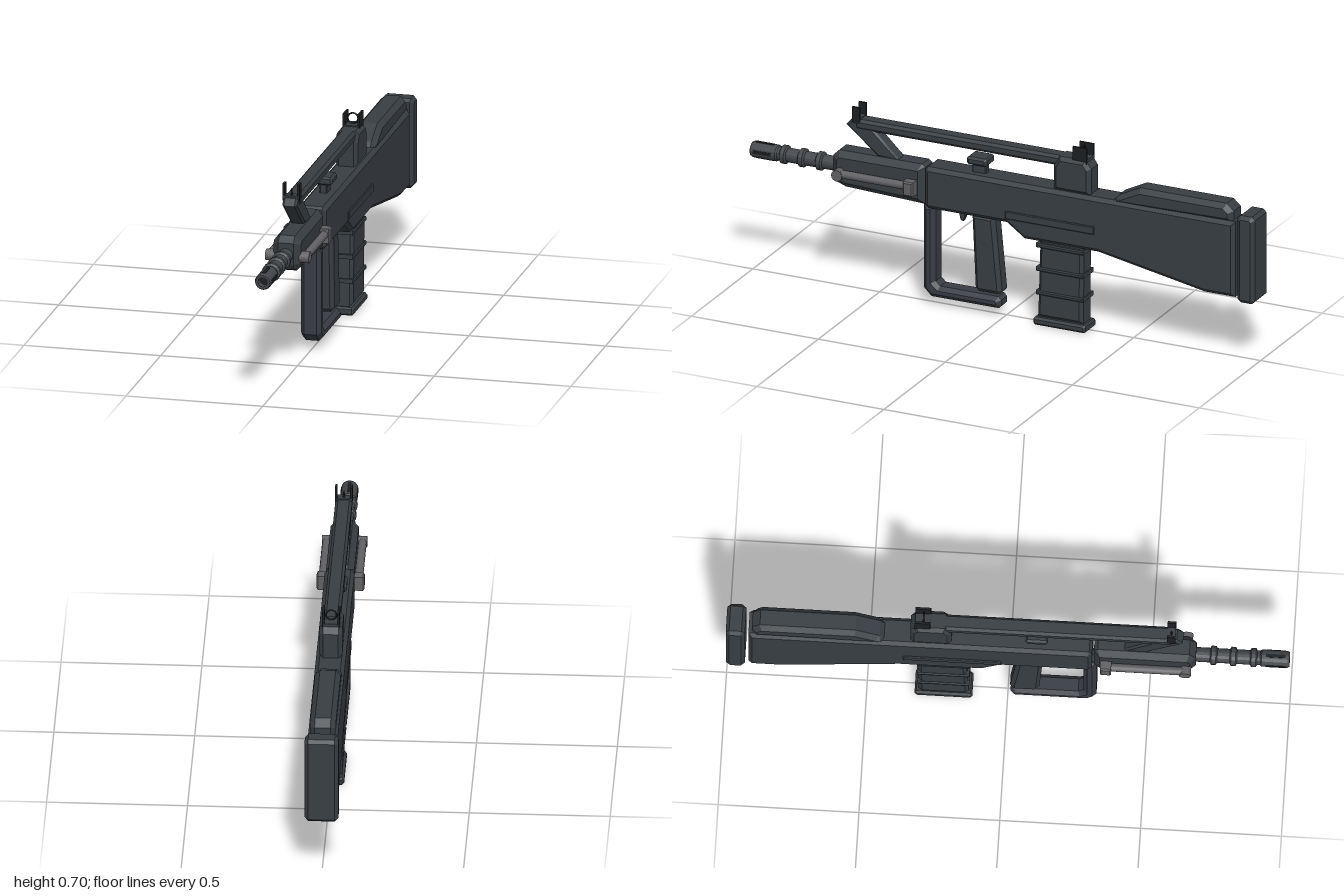
import * as THREE from 'three';

const mat = (name, color) => {
  const m = new THREE.MeshStandardMaterial({ color });
  m.name = name;
  return m;
};

export function createModel() {
  const group = new THREE.Group();
  const polymer = mat('polymer', 0x383e43);
  const slate = mat('slate polymer', 0x383c44);
  const steel = mat('barrel steel', 0x43474b);
  const grey = mat('grey metal', 0x626266);
  const black = mat('black', 0x1c1f22);

  const add = (name, geo, material, x = 0, y = 0, z = 0) => {
    const mesh = new THREE.Mesh(geo, material);
    mesh.name = name;
    mesh.position.set(x, y, z);
    group.add(mesh);
    return mesh;
  };

  // Side outline in [z, y], extruded across x with a chamfered rim
  const slab = (name, pts, half, bevel, material = polymer, x = 0) => {
    const shape = new THREE.Shape(pts.map(([z, y]) => new THREE.Vector2(z, y)));
    const geo = new THREE.ExtrudeGeometry(shape, {
      depth: 2 * (half - bevel), bevelEnabled: bevel > 0, bevelThickness: bevel,
      bevelSize: bevel, bevelOffset: -bevel, bevelSegments: 1,
    });
    geo.translate(0, 0, -(half - bevel));
    geo.rotateY(-Math.PI / 2);
    return add(name, geo, material, x);
  };
  const rect = (z0, z1, y0, y1, c = 0) => (c
    ? [[z0 + c, y0], [z1 - c, y0], [z1, y0 + c], [z1, y1 - c], [z1 - c, y1], [z0 + c, y1], [z0, y1 - c], [z0, y0 + c]]
    : [[z0, y0], [z1, y0], [z1, y1], [z0, y1]]);

  // Body, stock and butt
  slab('receiverAndStock', [[0.3, 0.38], [0.3, 0.52], [0.29, 0.53], [-0.92, 0.53], [-0.92, 0.243],
    [-0.8, 0.243], [-0.38, 0.322], [-0.09, 0.322], [-0.02, 0.372], [0.29, 0.372]], 0.053, 0.014);
  slab('buttPlate', rect(-1, -0.932, 0.23, 0.562, 0.012), 0.06, 0.013);
  slab('cheekRest', [[-0.43, 0.52], [-0.455, 0.548], [-0.54, 0.59], [-0.88, 0.59], [-0.908, 0.565],
    [-0.908, 0.52]], 0.046, 0.018);
  for (const s of [1, -1]) slab('sidePanel', rect(-0.37, -0.02, 0.39, 0.42), 0.005, 0.003, polymer, s * 0.053);

  // Handguard
  slab('handguard', [[0.306, 0.38], [0.62, 0.392], [0.655, 0.405], [0.668, 0.425], [0.668, 0.505],
    [0.645, 0.528], [0.32, 0.53], [0.306, 0.52]], 0.05, 0.022);

  // Barrel with rings and muzzle, closed by a dark bore
  const profile = [[0, 0.6], [0.026, 0.6], [0.026, 0.715]];
  for (const z of [0.73, 0.8, 0.872]) {
    profile.push([0.026, z - 0.013], [0.034, z - 0.008], [0.034, z + 0.008], [0.026, z + 0.013]);
  }
  profile.push([0.026, 0.895], [0.03, 0.9], [0.03, 0.993], [0.026, 1], [0.017, 1], [0.017, 0.97]);
  const barrel = new THREE.LatheGeometry(profile.map(([r, z]) => new THREE.Vector2(r, z)), 16).toNonIndexed();
  barrel.computeVertexNormals();
  barrel.rotateX(Math.PI / 2);
  add('barrel', barrel, steel, 0, 0.46, 0);
  add('bore', new THREE.CircleGeometry(0.018, 16), black, 0, 0.46, 0.972);
  for (let i = 0; i < 4; i++) {
    const a = i * Math.PI / 2;
    const slot = add('muzzleSlot', new THREE.BoxGeometry(0.006, 0.012, 0.07), black,
      Math.cos(a) * 0.028, 0.46 + Math.sin(a) * 0.028, 0.95);
    slot.rotation.z = a;
  }

  // Folded side rods with pivots and end blocks
  for (const s of [1, -1]) {
    const rod = new THREE.CylinderGeometry(0.015, 0.015, 0.29, 12);
    rod.rotateX(Math.PI / 2);
    add('sideRod', rod, grey, s * 0.064, 0.452, 0.49);
    const pivot = new THREE.CylinderGeometry(0.021, 0.021, 0.04, 14);
    pivot.rotateZ(Math.PI / 2);
    add('rodPivot', pivot, grey, s * 0.06, 0.448, 0.632);
    slab('rodBlock', rect(0.33, 0.37, 0.42, 0.474), 0.022, 0.005, grey, s * 0.063);
  }

  // Carry handle
  slab('handleFrontPost', [[0.622, 0.628], [0.6, 0.652], [0.54, 0.652], [0.52, 0.632], [0.41, 0.525],
    [0.495, 0.525]], 0.027, 0.008);
  slab('handleBar', rect(-0.3, 0.585, 0.616, 0.655, 0.006), 0.03, 0.01);
  slab('handleRearPost', [[-0.2, 0.525], [-0.2, 0.62], [-0.222, 0.655], [-0.325, 0.655], [-0.346, 0.625],
    [-0.346, 0.525]], 0.041, 0.014);

  // Sights: protective ears, front post, rear aperture ring
  for (const [end, z0, z1] of [['front', 0.565, 0.595], ['rear', -0.33, -0.275]]) {
    for (const s of [1, -1]) slab(end + 'SightEar', rect(z0, z1, 0.64, 0.702), 0.004, 0, black, s * 0.027);
    add(end + 'SightBase', new THREE.BoxGeometry(0.056, 0.012, z1 - z0), polymer, 0, 0.653, (z0 + z1) / 2);
  }
  add('frontSightPost', new THREE.CylinderGeometry(0.002, 0.005, 0.03, 8), black, 0, 0.668, 0.58);
  add('rearSightRing', new THREE.TorusGeometry(0.019, 0.003, 6, 16), black, 0, 0.68, -0.3);

  // Cocking lever under the handle
  slab('cockingStem', rect(0.075, 0.13, 0.525, 0.575), 0.014, 0.004);
  slab('cockingKnob', rect(0.064, 0.142, 0.562, 0.592, 0.006), 0.036, 0.008);

  // Trigger, grip and full-hand guard
  slab('trigger', [[0.188, 0.375], [0.178, 0.335], [0.168, 0.33], [0.16, 0.345], [0.155, 0.375]], 0.01, 0.003);
  slab('grip', [[0.125, 0.375], [0.035, 0.375], [0.008, 0.095], [0.02, 0.082], [0.1, 0.082], [0.112, 0.095]],
    0.034, 0.014);
  slab('handGuard', [[0.315, 0.38], [0.315, 0.06], [0.285, 0.03], [0.02, 0.03], [0.01, 0.04], [0.01, 0.062],
    [0.022, 0.074], [0.25, 0.074], [0.268, 0.09], [0.268, 0.38]], 0.038, 0.015, slate);

  // Magazine
  slab('magazine', [[-0.147, 0.33], [-0.138, 0.03], [-0.316, 0.03], [-0.318, 0.33]], 0.04, 0.012);
  for (const y of [0.125, 0.215, 0.305]) {
    slab('magazineRib', rect(-0.322, -0.135, y - 0.008, y + 0.008), 0.045, 0.004);
  }
  slab('magazineBase', rect(-0.33, -0.125, 0, 0.03, 0.006), 0.047, 0.008);

  return group;
}
